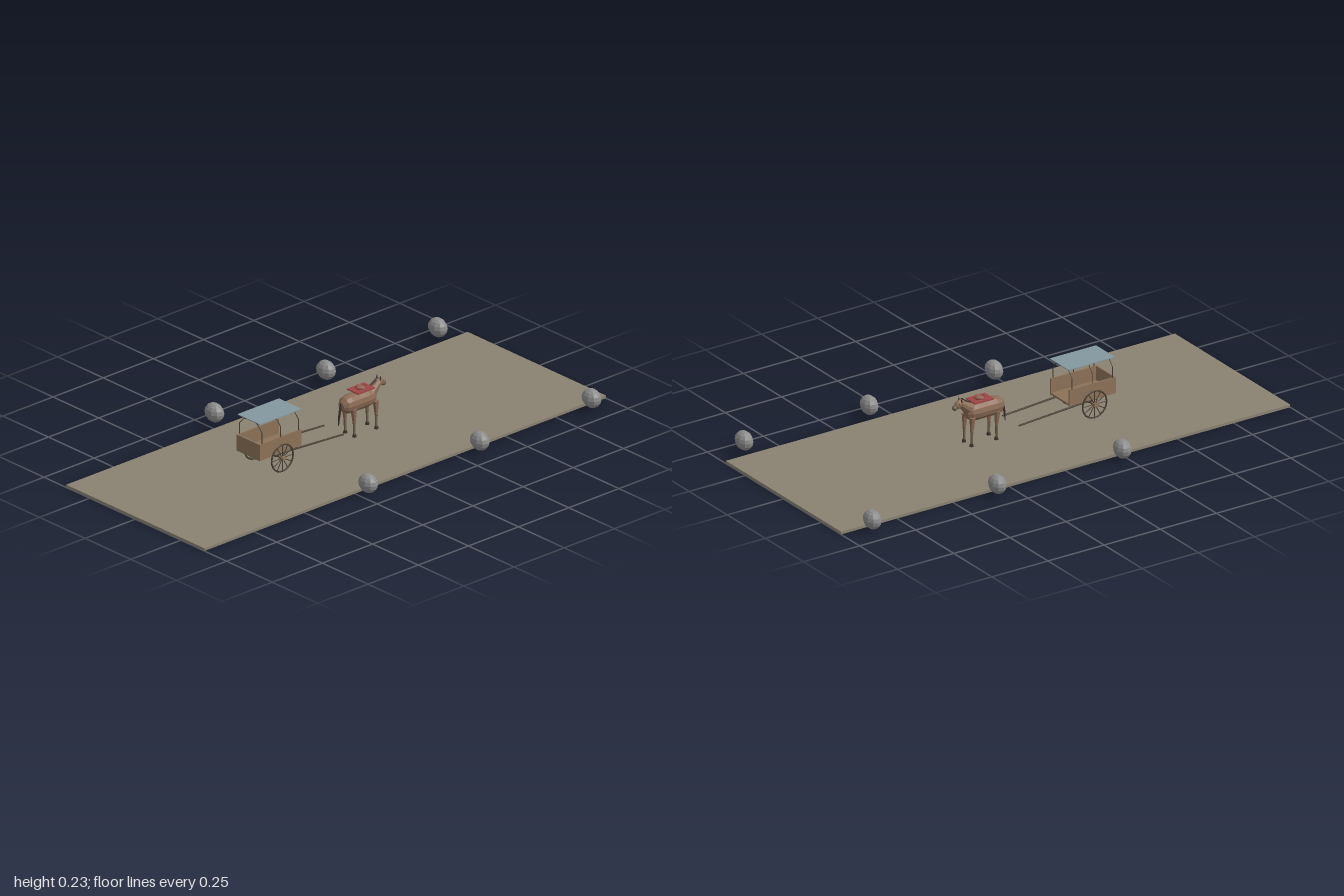
import * as THREE from 'three';

const mat = (color, extra = {}) => new THREE.MeshStandardMaterial({ color, flatShading: true, ...extra });
const M = {
  road: mat(0x8a8272), stone: mat(0x8c8c8c), wood: mat(0x8c7258), dark: mat(0x4a3f34),
  cloth: mat(0x84979f, { side: THREE.DoubleSide }), metal: mat(0x5c5c5c),
  coat: mat(0x8a6a54), leg: mat(0x70604c), hair: mat(0x3a302a), red: mat(0x9c4444),
};

function add(parent, name, geo, material, x = 0, y = 0, z = 0) {
  const m = new THREE.Mesh(geo, material);
  m.name = name;
  m.position.set(x, y, z);
  parent.add(m);
  return m;
}
const box = (w, h, d) => new THREE.BoxGeometry(w, h, d);
const ball = (rx, ry, rz, w = 10, h = 8) => new THREE.SphereGeometry(1, w, h).scale(rx, ry, rz);

// Tapered rod between two points
function rod(parent, name, a, b, r0, r1, material, sides = 8) {
  const A = new THREE.Vector3(...a), B = new THREE.Vector3(...b);
  const dir = B.clone().sub(A);
  const m = add(parent, name, new THREE.CylinderGeometry(r1, r0, dir.length(), sides), material);
  m.position.copy(A).add(B).multiplyScalar(0.5);
  m.quaternion.setFromUnitVectors(new THREE.Vector3(0, 1, 0), dir.normalize());
  return m;
}

function makeWheel(side) {
  const g = new THREE.Group();
  g.name = side > 0 ? 'leftWheel' : 'rightWheel';
  add(g, 'rim', new THREE.TorusGeometry(0.0535, 0.0033, 6, 24).rotateY(Math.PI / 2), M.dark);
  add(g, 'hub', new THREE.CylinderGeometry(0.009, 0.009, 0.024, 10).rotateZ(Math.PI / 2), M.wood);
  const spokes = 12;
  for (let i = 0; i < spokes; i++) {
    const a = (i / spokes) * Math.PI * 2;
    rod(g, 'spoke', [0, 0, 0], [0, Math.cos(a) * 0.053, Math.sin(a) * 0.053], 0.0018, 0.0018, M.dark, 6);
  }
  g.position.set(side * 0.075, 0.068, 0.335);
  return g;
}

function makeCart() {
  const g = new THREE.Group();
  g.name = 'cart';
  // Box body, open toward the horse
  add(g, 'floor', box(0.128, 0.008, 0.208), M.wood, 0, 0.087, 0.334);
  add(g, 'tailBoard', box(0.128, 0.064, 0.006), M.wood, 0, 0.116, 0.435);
  for (const s of [-1, 1]) {
    add(g, 'sideBoard', box(0.006, 0.064, 0.208), M.wood, s * 0.061, 0.116, 0.334);
    rod(g, 'shaft', [s * 0.053, 0.079, 0.36], [s * 0.053, 0.056, 0.012], 0.004, 0.0035, M.dark);
    add(g, 'axleBlock', box(0.008, 0.02, 0.02), M.dark, s * 0.045, 0.075, 0.335);
    g.add(makeWheel(s));
  }
  rod(g, 'axle', [-0.08, 0.068, 0.335], [0.08, 0.068, 0.335], 0.0045, 0.0045, M.dark);
  // Hoops carrying a flat canopy
  const half = [[0.062, 0.12], [0.062, 0.192], [0.037, 0.219], [0, 0.228]];
  const pts = [...half, ...half.slice(0, 3).reverse().map(([x, y]) => [-x, y])];
  const path = new THREE.CurvePath();
  for (let i = 1; i < pts.length; i++)
    path.add(new THREE.LineCurve3(new THREE.Vector3(...pts[i - 1], 0), new THREE.Vector3(...pts[i], 0)));
  for (const z of [0.243, 0.333, 0.424])
    add(g, 'hoop', new THREE.TubeGeometry(path, 40, 0.0019, 6), M.dark, 0, 0, z);
  add(g, 'canopy', box(0.124, 0.003, 0.206), M.cloth, 0, 0.2285, 0.331);
  return g;
}

function makeHorse() {
  const g = new THREE.Group();
  g.name = 'horse';
  // Barrel: [distance forward, radius]
  const profile = [[0.022, 0], [0.026, 0.017], [0.04, 0.032], [0.062, 0.037], [0.1, 0.036],
    [0.145, 0.037], [0.172, 0.032], [0.188, 0.019], [0.193, 0]];
  const barrel = new THREE.LatheGeometry(profile.map(([d, r]) => new THREE.Vector2(r, d)), 12);
  barrel.rotateX(-Math.PI / 2).scale(0.9, 1, 1);
  add(g, 'barrel', barrel, M.coat, 0, 0.139, 0);

  // Neck, head and mane
  rod(g, 'neck', [0, 0.145, -0.16], [0, 0.184, -0.212], 0.027, 0.015, M.coat, 10);
  add(g, 'head', ball(0.014, 0.016, 0.024), M.coat, 0, 0.183, -0.217).rotation.x = -0.45;
  add(g, 'muzzle', ball(0.01, 0.011, 0.012), M.leg, 0, 0.172, -0.236);
  rod(g, 'mane', [0, 0.172, -0.165], [0, 0.2, -0.208], 0.005, 0.005, M.hair, 6);
  for (const s of [-1, 1]) {
    rod(g, 'ear', [s * 0.009, 0.192, -0.212], [s * 0.01, 0.208, -0.213], 0.004, 0.0006, M.hair, 6);
    add(g, 'eye', ball(0.002, 0.002, 0.002, 6, 4), M.hair, s * 0.0125, 0.187, -0.224);
  }

  // Legs
  for (const s of [-1, 1]) for (const z of [-0.068, -0.178]) {
    const leg = new THREE.Group();
    leg.name = z > -0.1 ? 'hindLeg' : 'foreLeg';
    const x = s * 0.025;
    rod(leg, 'thigh', [x, 0.125, z + 0.003], [x, 0.068, z], 0.012, 0.006, M.coat);
    add(leg, 'knee', ball(0.0065, 0.0065, 0.0065, 8, 6), M.leg, x, 0.068, z);
    rod(leg, 'shin', [x, 0.068, z], [x, 0.018, z], 0.0055, 0.0045, M.leg);
    rod(leg, 'hoof', [x, 0.011, z - 0.001], [x, 0.022, z - 0.001], 0.0085, 0.006, M.hair);
    g.add(leg);
  }

  // Tail
  rod(g, 'tail', [0, 0.15, -0.027], [0, 0.115, -0.018], 0.004, 0.005, M.hair, 6);
  rod(g, 'tailTip', [0, 0.115, -0.018], [0, 0.064, -0.012], 0.005, 0.0018, M.hair, 6);

  // Saddle pad, seat and ring
  add(g, 'saddlePad', box(0.062, 0.004, 0.084), M.red, 0, 0.181, -0.125);
  add(g, 'saddleSeat', ball(0.02, 0.009, 0.02), M.coat, 0, 0.183, -0.125);
  add(g, 'saddleRing', new THREE.TorusGeometry(0.02, 0.0035, 6, 16).rotateX(Math.PI / 2), M.red, 0, 0.188, -0.125);
  return g;
}

export function createModel() {
  const g = new THREE.Group();
  g.name = 'horseCartScene';
  add(g, 'road', box(0.757, 0.011, 2), M.road, 0, 0.0055, 0);
  // Roadside stones
  for (const s of [-1, 1]) for (const z of [-0.89, -0.333, 0.223])
    add(g, 'stone', ball(0.043, 0.0375, 0.031), M.stone, s * 0.421, 0.0495, z);
  g.add(makeCart(), makeHorse());
  return g;
}
